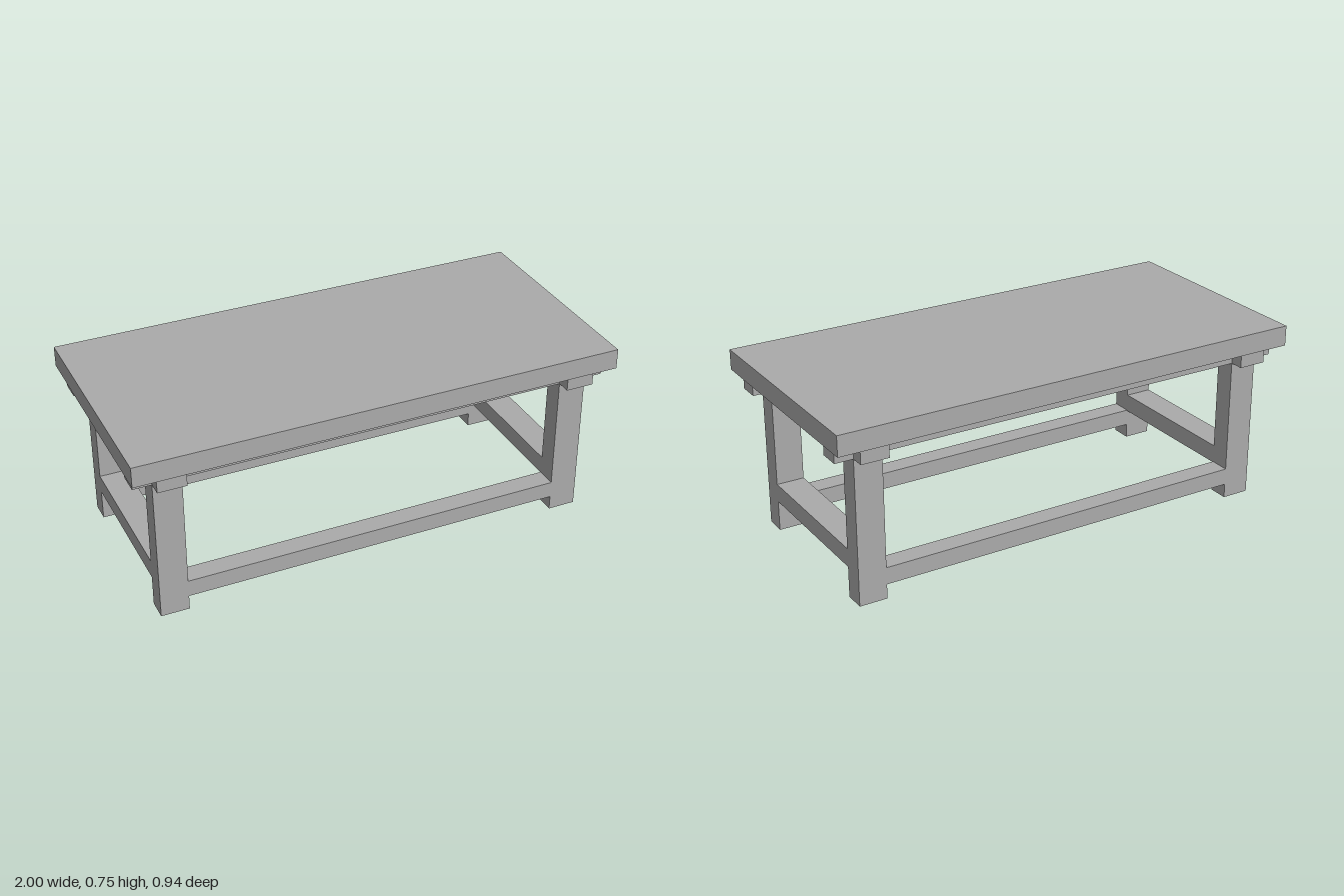
import * as THREE from 'three';

export function createModel() {
  const table = new THREE.Group();
  table.name = 'table';
  const grey = new THREE.MeshStandardMaterial({ color: 0xaaaaaa });
  grey.name = 'plain grey';

  // Box spanning the given ranges on each axis
  const block = (name, [x0, x1], [y0, y1], [z0, z1]) => {
    const mesh = new THREE.Mesh(new THREE.BoxGeometry(x1 - x0, y1 - y0, z1 - z0), grey);
    mesh.position.set((x0 + x1) / 2, (y0 + y1) / 2, (z0 + z1) / 2);
    mesh.name = name;
    table.add(mesh);
  };
  const side = (s, inner, outer) => (s > 0 ? [inner, outer] : [-outer, -inner]);

  // Leg extents, shared by every beam that lines up with the legs
  const xIn = 0.79, xOut = 0.905, zIn = 0.31, zOut = 0.395;
  const beamBottom = 0.602, topBottom = 0.661, topHeight = 0.745;

  block('tabletop', [-1, 1], [topBottom, topHeight], [-0.468, 0.468]);

  for (const s of [1, -1]) {
    const xSpan = side(s, xIn, xOut);
    const zSpan = side(s, zIn, zOut);

    // Crossing beams under the top, their ends standing past the legs
    block('longBeam', [-0.98, 0.98], [beamBottom, topBottom], zSpan);
    block('crossBeam', xSpan, [beamBottom, topBottom], [-0.452, 0.452]);

    // Low stretchers between the legs
    block('longStretcher', [-xIn, xIn], [0.06, 0.13], zSpan);
    block('sideStretcher', xSpan, [0.127, 0.203], [-zIn, zIn]);

    // Front and back leg on this side
    for (const t of [1, -1]) block('leg', xSpan, [0, beamBottom], side(t, zIn, zOut));
  }
  return table;
}
